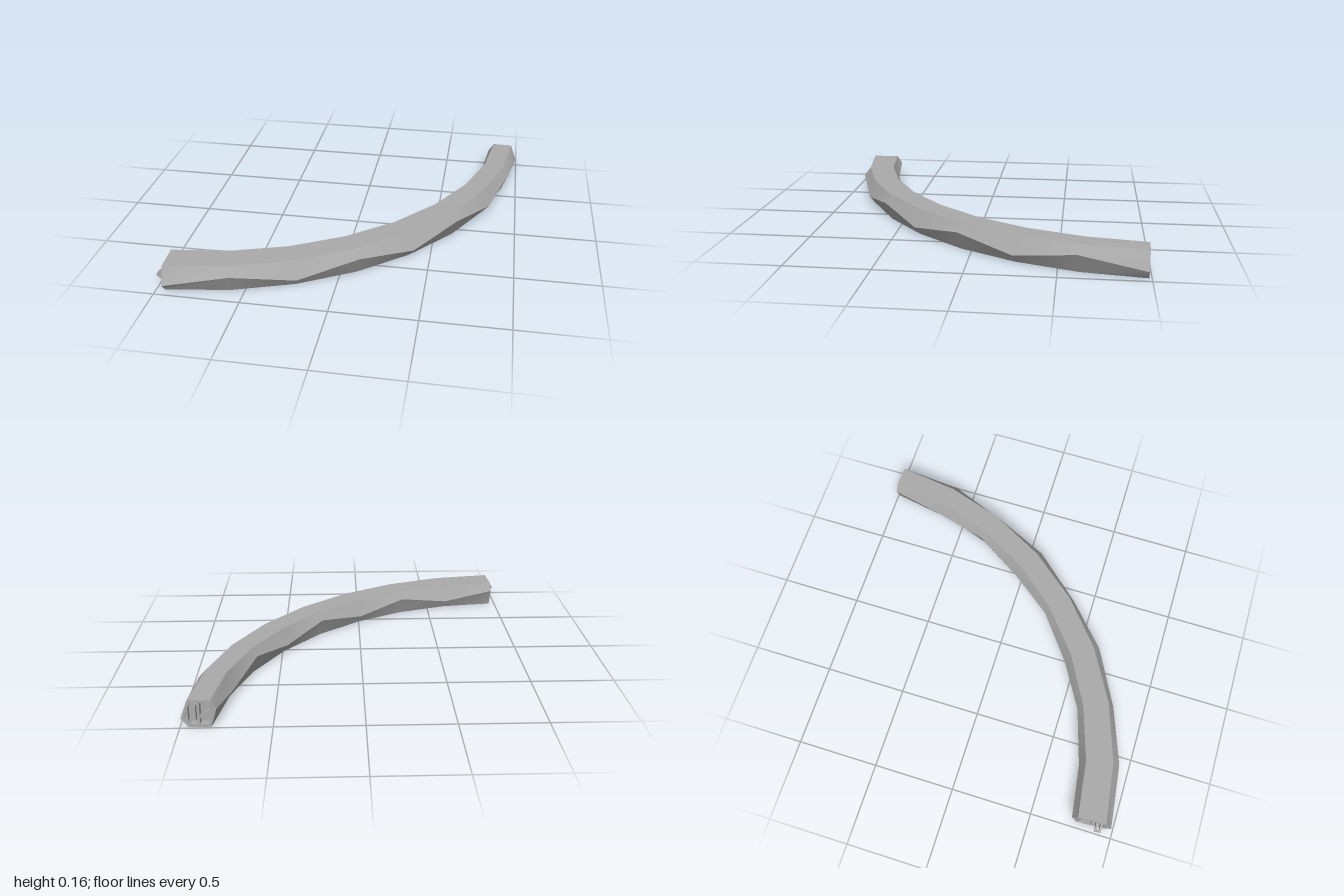
import * as THREE from 'three';
import { toCreasedNormals } from 'three/addons/utils/BufferGeometryUtils.js';

const CX = -1.065, CZ = -1.073, R = 2.063, H = 0.16;
const A0 = THREE.MathUtils.degToRad(3.2), A1 = THREE.MathUtils.degToRad(87.5);
const STEPS = 8;

const angleAt = (t) => A0 + (A1 - A0) * t;
const polar = (r, y, a) => new THREE.Vector3(CX + r * Math.sin(a), y, CZ + r * Math.cos(a));

// Six-sided section as [radius, height]; side creases zigzag in opposite phase
function section(i) {
  const inner = 1.818 + 0.047 * (i / STEPS);
  const odd = i % 2 === 1;
  return [
    [R - 0.042, H], [R, odd ? 0.11 : 0.05], [R - 0.042, 0],
    [inner + 0.033, 0], [inner, odd ? 0.05 : 0.11], [inner + 0.033, H],
  ];
}

// Ring of the section, shrunk about its middle and shifted along the arc
function ring(i, scale = 1, shift = 0) {
  const s = section(i);
  const mid = (s[1][0] + s[4][0]) / 2;
  const a = angleAt(i / STEPS) + shift / mid;
  return s.map(([r, y]) => polar(mid + (r - mid) * scale, H / 2 + (y - H / 2) * scale, a));
}

function loft(rings) {
  const pos = [];
  const push = (...pts) => pts.forEach((p) => pos.push(p.x, p.y, p.z));
  for (let i = 0; i < rings.length - 1; i++) {
    for (let k = 0; k < 6; k++) {
      const n = (k + 1) % 6;
      const a = rings[i][k], b = rings[i][n], c = rings[i + 1][k], d = rings[i + 1][n];
      push(a, b, c);
      push(b, d, c);
    }
  }
  const g = new THREE.BufferGeometry();
  g.setAttribute('position', new THREE.Float32BufferAttribute(pos, 3));
  return toCreasedNormals(g, 0.55);
}

export function createModel() {
  const model = new THREE.Group();
  model.name = 'curvedBeam';
  const grey = new THREE.MeshStandardMaterial({ color: 0xaaaaaa });
  grey.name = 'grey';

  const add = (parent, name, geometry, x = 0, y = 0, z = 0) => {
    const mesh = new THREE.Mesh(geometry, grey);
    mesh.name = name;
    mesh.position.set(x, y, z);
    parent.add(mesh);
    return mesh;
  };

  // Beam with a shallow recess in each end
  const depth = 0.04;
  const rings = [ring(0, 0, depth), ring(0, 0.8, depth), ring(0, 0.8)];
  for (let i = 0; i <= STEPS; i++) rings.push(ring(i));
  rings.push(ring(STEPS, 0.8), ring(STEPS, 0.8, -depth), ring(STEPS, 0, -depth));
  add(model, 'beam', loft(rings));

  // End fittings: local x runs along the arc, local z points outward
  for (const [i, side] of [[0, 1], [STEPS, -1]]) {
    const s = section(i);
    const end = new THREE.Group();
    end.name = i === 0 ? 'pegEnd' : 'socketEnd';
    end.position.copy(polar((s[1][0] + s[4][0]) / 2, H / 2, angleAt(i / STEPS)));
    end.rotation.y = angleAt(i / STEPS);
    model.add(end);

    add(end, 'uprightRib', new THREE.BoxGeometry(depth, 0.127, 0.014), side * depth / 2);
    const brace = add(end, 'diagonalRib', new THREE.BoxGeometry(depth, 0.014, 0.075), side * depth / 2, 0, -0.04);
    brace.rotation.x = 0.6;

    if (i === 0) {
      // Pointed locking peg: two cheeks joined by a tip bar
      const shape = new THREE.Shape([[0.02, 0.055], [-0.045, 0.008], [-0.045, -0.002], [0.02, -0.055]]
        .map(([x, y]) => new THREE.Vector2(x, y)));
      const cheek = new THREE.ExtrudeGeometry(shape, { depth: 0.012, bevelEnabled: false });
      for (const z of [0.024, 0.05]) add(end, 'pegCheek', cheek, 0, 0, z);
      add(end, 'pegTip', new THREE.BoxGeometry(0.012, 0.016, 0.038), -0.037, 0.003, 0.043);
    } else {
      // Socket walls that receive the peg
      for (const z of [0.018, 0.06]) {
        add(end, 'socketWall', new THREE.BoxGeometry(depth, 0.09, 0.006), side * depth / 2, 0, z);
      }
    }
  }
  return model;
}
